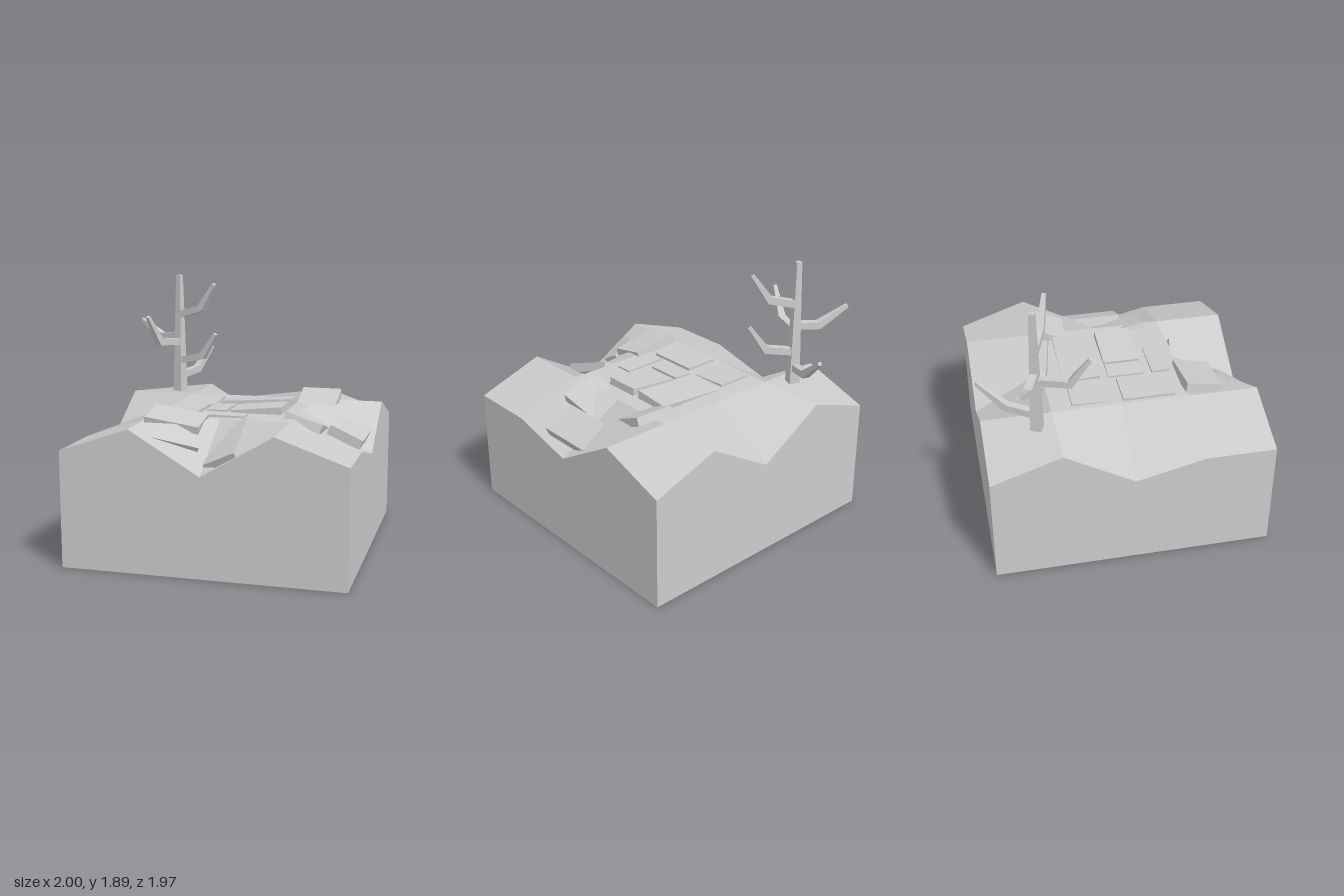
import * as THREE from 'three';

const material = new THREE.MeshStandardMaterial({ color: 0xcccccc });

// Mesh from four-cornered faces (anticlockwise), each with one normal
function fromQuads(name, quads) {
  const positions = [];
  const normals = [];
  for (const [a, b, c, d] of quads) {
    const normal = c.clone().sub(a).cross(d.clone().sub(b)).normalize();
    for (const corner of [a, b, d, b, c, d]) {
      positions.push(...corner.toArray());
      normals.push(...normal.toArray());
    }
  }
  const g = new THREE.BufferGeometry();
  g.setAttribute('position', new THREE.Float32BufferAttribute(positions, 3));
  g.setAttribute('normal', new THREE.Float32BufferAttribute(normals, 3));
  const mesh = new THREE.Mesh(g, material);
  mesh.name = name;
  return mesh;
}

// Block of ground: 4 x 4 height grid on top, straight walls, flat base
function createGround() {
  const xs = [-0.955, -0.467, 0.021, 0.51, 0.998];
  const zs = [-0.968, -0.479, 0.01, 0.499, 0.987];
  const heights = [
    [0.81, 0.98, 0.69, 0.98, 0.81],
    [0.98, 0.98, 0.98, 0.98, 0.98],
    [0.69, 0.98, 0.98, 0.98, 0.69],
    [0.81, 0.98, 0.98, 0.98, 0.81],
    [0.81, 0.98, 0.69, 0.98, 0.81],
  ];
  const top = (i, j) => new THREE.Vector3(xs[i], heights[j][i], zs[j]);
  const low = (i, j) => new THREE.Vector3(xs[i], 0, zs[j]);
  const quads = [[low(0, 0), low(4, 0), low(4, 4), low(0, 4)]];
  for (let j = 0; j < 4; j++) {
    for (let i = 0; i < 4; i++) quads.push([top(i, j), top(i, j + 1), top(i + 1, j + 1), top(i + 1, j)]);
  }
  for (let k = 0; k < 4; k++) {
    quads.push(
      [low(k, 4), low(k + 1, 4), top(k + 1, 4), top(k, 4)], // front
      [low(k + 1, 0), low(k, 0), top(k, 0), top(k + 1, 0)], // back
      [low(4, k + 1), low(4, k), top(4, k), top(4, k + 1)], // left
      [low(0, k), low(0, k + 1), top(0, k + 1), top(0, k)], // right
    );
  }
  return fromQuads('ground', quads);
}

// Four-sided tapering limb swept along points; side is the fixed cross axis
function createLimb(name, points, halfWidths, side) {
  const last = points.length - 1;
  const rings = points.map((p, k) => {
    const tangent = points[Math.min(k + 1, last)].clone().sub(points[Math.max(k - 1, 0)]).normalize();
    const up = tangent.cross(side).normalize();
    return [[-1, -1], [1, -1], [1, 1], [-1, 1]].map(([s, t]) =>
      p.clone().addScaledVector(side, s * halfWidths[k]).addScaledVector(up, t * halfWidths[k]));
  });
  const quads = [rings[last], [...rings[0]].reverse()];
  for (let k = 0; k < last; k++) {
    for (let s = 0; s < 4; s++) {
      const n = (s + 1) % 4;
      quads.push([rings[k][s], rings[k][n], rings[k + 1][n], rings[k + 1][s]]);
    }
  }
  return fromQuads(name, quads);
}

// Bare tree: square trunk and bent branches
function createTree() {
  const tree = new THREE.Group();
  tree.name = 'bareTree';
  const v = (x, y, z) => new THREE.Vector3(x, y, z);
  const trunkSide = v(0.93, 0, 0.37).normalize();
  tree.add(createLimb('trunk', [v(-0.618, 0.95, -0.6), v(-0.618, 1.89, -0.6)], [0.04, 0.019], trunkSide));
  // root height, elbow, tip
  const branches = [
    [1.22, v(-0.405, 1.27, -0.52), v(-0.29, 1.45, -0.473)],
    [1.58, v(-0.42, 1.64, -0.525), v(-0.3, 1.83, -0.476)],
    [1.42, v(-0.785, 1.4, -0.67), v(-0.987, 1.52, -0.755)],
    [1.37, v(-0.71, 1.385, -0.38), v(-0.76, 1.59, -0.255)],
    [1.10, v(-0.535, 1.13, -0.79), v(-0.463, 1.295, -0.975)],
  ];
  for (const [rootY, elbow, tip] of branches) {
    const root = v(-0.618, rootY, -0.6);
    const side = v(tip.z - root.z, 0, root.x - tip.x).normalize();
    tree.add(createLimb('branch', [root, elbow, tip], [0.026, 0.027, 0.013], side));
  }
  return tree;
}

// Paving slabs: centre of top face, width, depth, thickness, tilts
function createSlabs() {
  const group = new THREE.Group();
  group.name = 'pavingSlabs';
  const slabs = [
    [-0.3, 0.99, -0.185, 0.26, 0.29, 0.06, 0.05, 0, 0],
    [0.125, 1.01, -0.21, 0.53, 0.27, 0.06, -0.08, -0.02, 0.07],
    [0.55, 1.017, -0.31, 0.29, 0.27, 0.06, 0.42, -0.04, 0.02],
    [-0.31, 1.0, 0.215, 0.26, 0.37, 0.06, 0, 0, 0],
    [-0.077, 0.995, 0.11, 0.145, 0.26, 0.06, 0, 0, 0.03],
    [0.205, 1.015, 0.11, 0.37, 0.26, 0.06, 0, 0, 0.1],
    [0.01, 0.995, 0.365, 0.32, 0.13, 0.06, 0, 0, -0.02],
    [-0.25, 1.015, 0.61, 0.38, 0.26, 0.07, 0.18, 0, -0.15],
    [-0.185, 0.918, 0.835, 0.32, 0.13, 0.05, 0.5, 0.15, -0.36],
    [0.12, 0.88, 0.715, 0.24, 0.45, 0.07, 0.35, 0.03, 0.45],
    [0.57, 0.947, 0.19, 0.27, 0.36, 0.07, -0.24, 0.05, -0.3],
    [0.855, 0.877, 0.02, 0.25, 0.45, 0.07, 0, 0, -0.43],
  ];
  for (const [x, y, z, w, d, t, rx, ry, rz] of slabs) {
    const slab = new THREE.Mesh(new THREE.BoxGeometry(w, t, d).translate(0, -t / 2, 0), material);
    slab.name = 'slab';
    slab.position.set(x, y, z);
    slab.rotation.set(rx, ry, rz);
    group.add(slab);
  }
  return group;
}

export function createModel() {
  const model = new THREE.Group();
  model.name = 'ruinedPathWithTree';
  model.add(createGround(), createSlabs(), createTree());
  return model;
}
